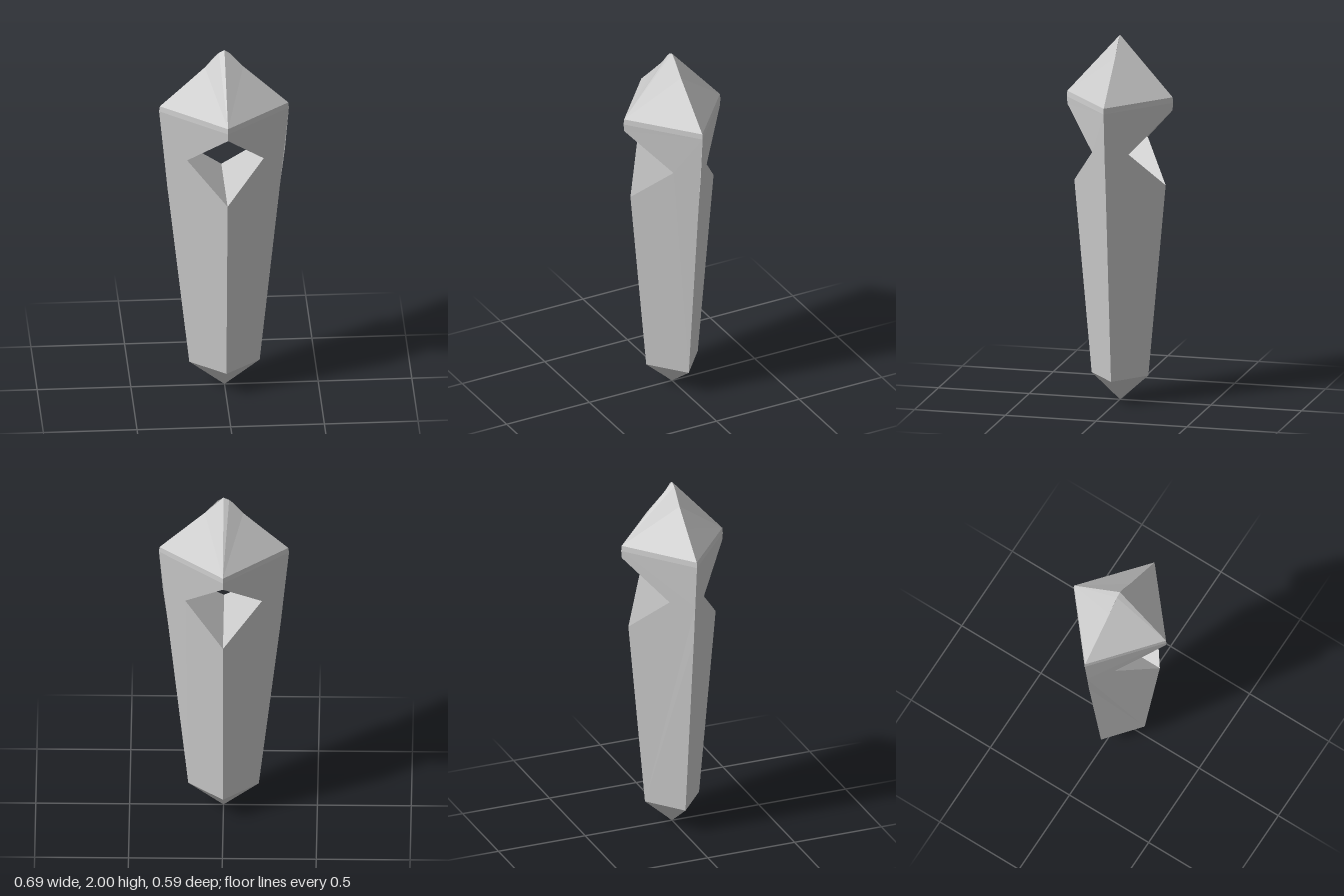
import * as THREE from 'three';
import { mergeGeometries } from 'three/addons/utils/BufferGeometryUtils.js';

// Half-width of each side ridge and half-depth of the front/back ridges, as [height, size]
const WIDTH = {
  '1': [[0, 0], [0.14, 0.188], [1.2, 0.298], [1.4, 0.323], [1.645, 0.344], [1.675, 0.341], [1.9, 0.1], [1.98, 0.03], [2, 0]],
  '-1': [[0, 0], [0.14, 0.188], [1.2, 0.306], [1.4, 0.325], [1.645, 0.349], [1.675, 0.345], [1.81, 0.2], [1.9, 0.105], [1.965, 0.052], [1.985, 0.03], [2, 0]],
};
const DEPTH = [[0, 0], [0.14, 0.156], [1.645, 0.293], [1.675, 0.29], [2, 0]];
const HOLE = [[0, 1.19], [0.203, 1.397], [0, 1.603], [-0.206, 1.397]];

function sample(table, y) {
  for (let i = 1; i < table.length; i++) {
    const [y0, a] = table[i - 1], [y1, b] = table[i];
    if (y <= y1) return a + (b - a) * Math.max(0, (y - y0) / (y1 - y0));
  }
  return 0;
}

// Height of the rhombic surface above the middle plane
function surface(x, y) {
  const w = sample(WIDTH[x < 0 ? -1 : 1], y);
  return w < 1e-5 ? 0 : sample(DEPTH, y) * Math.max(0, 1 - Math.abs(x) / w);
}

// Flat outline lifted onto the rhombic surface, front (1) or back (-1)
function panel(points, face) {
  const g = new THREE.ShapeGeometry(new THREE.Shape(points.map(([x, y]) => new THREE.Vector2(x, y))));
  const p = g.attributes.position;
  for (let i = 0; i < p.count; i++) p.setZ(i, face * surface(p.getX(i), p.getY(i)));
  if (face < 0) g.index.array.reverse();
  return g.toNonIndexed();
}

// Four mirrored panels of one band between two heights
function band(y0, y1, inner = []) {
  const panels = [];
  for (const side of [1, -1]) {
    const table = WIDTH[side];
    const ridge = [y0, ...table.map(r => r[0]).filter(y => y > y0 && y < y1), y1]
      .map(y => [side * sample(table, y), y]);
    const outline = [...ridge];
    if (y1 < 2) outline.push([0, y1]);
    outline.push(...inner.filter(([x]) => x * side >= 0));
    if (y0 > 0) outline.push([0, y0]);
    for (const face of [1, -1]) panels.push(panel(outline, face));
  }
  const g = mergeGeometries(panels);
  g.computeVertexNormals();
  return g;
}

// Walls of the diamond hole running from front to back
function holeWalls() {
  const v = [];
  HOLE.forEach((a, i) => {
    const b = HOLE[(i + 1) % 4];
    const za = surface(...a), zb = surface(...b);
    const aF = [...a, za], aB = [...a, -za], bF = [...b, zb], bB = [...b, -zb];
    v.push(...aF, ...bF, ...aB, ...bF, ...bB, ...aB);
  });
  const g = new THREE.BufferGeometry();
  g.setAttribute('position', new THREE.Float32BufferAttribute(v, 3));
  g.computeVertexNormals();
  return g;
}

export function createModel() {
  const group = new THREE.Group();
  group.name = 'crystalPendant';
  const material = new THREE.MeshStandardMaterial({ color: 0xcccccc, flatShading: true });
  const add = (name, geometry) => {
    const mesh = new THREE.Mesh(geometry, material);
    mesh.name = name;
    group.add(mesh);
  };

  add('bottomPoint', band(0, 0.14));
  // Tapered shaft, notched around the hole from top to bottom
  add('shaft', band(0.14, 1.645, [HOLE[2], HOLE[1], HOLE[3], HOLE[0]]));
  add('shoulderRim', band(1.645, 1.675));
  add('topPoint', band(1.675, 2));
  add('holeWalls', holeWalls());
  return group;
}
